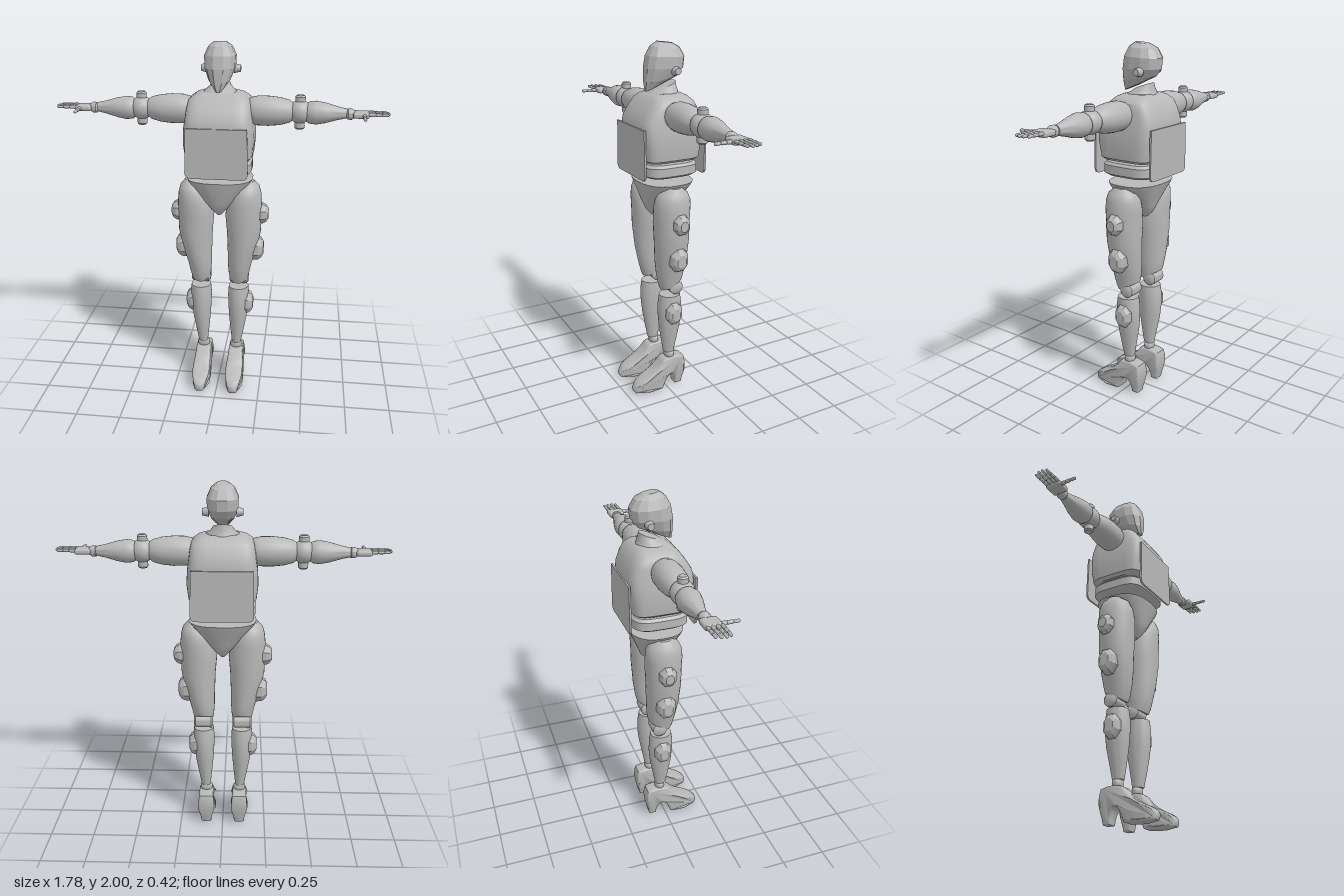
import * as THREE from 'three';
import { toCreasedNormals } from 'three/addons/utils/BufferGeometryUtils.js';
import { RoundedBoxGeometry } from 'three/addons/geometries/RoundedBoxGeometry.js';

const shell = new THREE.MeshStandardMaterial({ color: 0xb8b8b8 });
shell.name = 'grey shell';

function add(parent, name, geometry, x = 0, y = 0, z = 0) {
  const mesh = new THREE.Mesh(geometry, shell);
  mesh.name = name;
  mesh.position.set(x, y, z);
  parent.add(mesh);
  return mesh;
}

// Closed skin over rings listed upwards: [front y, back y, centre x, half width, front z, back z]
function loft(rings, { sides = 28, power = 2, crease = 0.7, turn = 0 } = {}) {
  const pos = [], idx = [];
  for (const [yf, yb, cx, rx, zf, zb] of rings) {
    for (let j = 0; j < sides; j++) {
      const a = ((j + turn) / sides) * Math.PI * 2;
      const c = Math.cos(a), s = Math.sin(a);
      const u = Math.sign(c) * Math.abs(c) ** (2 / power);
      const v = Math.sign(s) * Math.abs(s) ** (2 / power);
      const t = (v + 1) / 2;
      pos.push(cx + rx * u, yb + (yf - yb) * t, zb + (zf - zb) * t);
    }
  }
  const n = rings.length, bottom = n * sides, top = bottom + 1;
  for (const r of [rings[0], rings[n - 1]]) pos.push(r[2], (r[0] + r[1]) / 2, (r[4] + r[5]) / 2);
  for (let j = 0; j < sides; j++) {
    const k = (j + 1) % sides;
    for (let i = 0; i < n - 1; i++) {
      const a = i * sides + j, b = i * sides + k;
      idx.push(a, a + sides, b, b, a + sides, b + sides);
    }
    idx.push(bottom, j, k, top, (n - 1) * sides + k, (n - 1) * sides + j);
  }
  const g = new THREE.BufferGeometry();
  g.setAttribute('position', new THREE.Float32BufferAttribute(pos, 3));
  g.setIndex(idx);
  return toCreasedNormals(g, crease);
}

// Level rings: [y, centre x, half width, front z, back z]
const level = (rows, options) => loft(rows.map(([y, ...rest]) => [y, y, ...rest]), options);
// Round limb along x: [x, radius]
const limb = (rows) => level(rows.map(([x, r]) => [x, 0, r, r, -r])).rotateZ(-Math.PI / 2);
// Faceted pad facing +x
const pad = (ry, rz, depth) => level(
  [[0, 1], [0.5, 0.97], [0.8, 0.8], [1, 0.5]].map(([d, k]) => [d * depth, 0, ry * k, rz * k, -rz * k]),
  { sides: 8, crease: 0.1, turn: 0.5 }).rotateZ(-Math.PI / 2);

// Thin armour plate with rounded lower corners
function plate(w, y0, y1, depth) {
  const r = 0.035, s = new THREE.Shape();
  s.moveTo(-w + r, y0);
  s.lineTo(w - r, y0);
  s.quadraticCurveTo(w, y0, w, y0 + r);
  s.lineTo(w * 0.96, y1);
  s.lineTo(-w * 0.96, y1);
  s.lineTo(-w, y0 + r);
  s.quadraticCurveTo(-w, y0, -w + r, y0);
  return new THREE.ExtrudeGeometry(s, { depth, bevelEnabled: false });
}

// High-heeled shoe: side outline extruded across x, rounded at the toe and slim at the heel
function shoe() {
  const s = new THREE.Shape();
  s.moveTo(0.195, 0.015);
  s.quadraticCurveTo(0.22, 0.045, 0.14, 0.08);
  s.quadraticCurveTo(0.06, 0.115, 0.015, 0.18);
  s.quadraticCurveTo(-0.04, 0.2, -0.1, 0.18);
  s.quadraticCurveTo(-0.118, 0.13, -0.09, 0.015);
  s.lineTo(-0.065, 0.015);
  s.quadraticCurveTo(-0.055, 0.1, -0.02, 0.1);
  s.quadraticCurveTo(0.015, 0.095, 0.04, 0.015);
  s.lineTo(0.12, 0.01);
  s.lineTo(0.195, 0.015);
  const g = new THREE.ExtrudeGeometry(s, {
    depth: 0.07, bevelThickness: 0.016, bevelSize: 0.009, bevelSegments: 3, curveSegments: 10,
  });
  g.translate(0, 0, -0.035).rotateY(-Math.PI / 2);
  const p = g.attributes.position;
  for (let i = 0; i < p.count; i++) {
    const y = p.getY(i), z = p.getZ(i);
    let k = 1 - 0.2 * THREE.MathUtils.smoothstep(y, 0.08, 0.2);
    if (z > 0.1) k *= Math.sqrt(Math.max(0.12, 1 - ((z - 0.1) / 0.112) ** 2));
    if (z < -0.03) k *= 0.6 + 0.4 * THREE.MathUtils.smoothstep(y, 0.02, 0.12);
    p.setX(i, p.getX(i) * k);
  }
  return toCreasedNormals(g, 0.8);
}

function arm() {
  const g = new THREE.Group();
  const y = 1.64, z = -0.025;
  add(g, 'upperArm', limb([[0.14, 0.05], [0.165, 0.07], [0.2, 0.078], [0.26, 0.079], [0.32, 0.073], [0.37, 0.06], [0.39, 0.045]]), 0, y, z);
  add(g, 'elbowBall', new THREE.SphereGeometry(0.062, 28, 18), 0.425, y, z);
  add(g, 'elbowPin', level([[-0.09, 0, 0.02, 0.02, -0.02], [-0.082, 0, 0.027, 0.027, -0.027],
    [0.082, 0, 0.027, 0.027, -0.027], [0.09, 0, 0.02, 0.02, -0.02]]), 0.425, y - 0.002, z);
  add(g, 'forearm', limb([[0.455, 0.045], [0.475, 0.058], [0.51, 0.062], [0.56, 0.053], [0.62, 0.036], [0.67, 0.025]]), 0, y - 0.003, z);
  add(g, 'wrist', limb([[0.665, 0.02], [0.675, 0.029], [0.695, 0.029], [0.712, 0.018]]), 0, 1.635, -0.02);
  add(g, 'palm', new RoundedBoxGeometry(0.085, 0.03, 0.088, 3, 0.012), 0.742, 1.636, -0.014);

  // Three-jointed fingers and a forward thumb
  const joint = (len, r) => new THREE.CapsuleGeometry(r, len - r, 4, 10);
  [[-0.047, 0.095], [-0.024, 0.106], [0, 0.108], [0.022, 0.1]].forEach(([fz, length]) => {
    for (let i = 0; i < 3; i++) {
      add(g, 'fingerJoint', joint(length / 3 - 0.003, 0.0095 - i * 0.0008).rotateZ(Math.PI / 2),
        0.78 + (i + 0.5) * length / 3, 1.642, fz);
    }
  });
  for (let i = 0; i < 3; i++) {
    add(g, 'thumbJoint', joint(0.028, 0.0105 - i * 0.001).rotateX(Math.PI / 2), 0.757, 1.636, 0.038 + i * 0.031);
  }
  return g;
}

function leg() {
  const g = new THREE.Group();
  add(g, 'thigh', loft([
    [0.64, 0.705, 0.11, 0.055, 0.032, -0.095],
    [0.67, 0.72, 0.111, 0.06, 0.045, -0.1],
    [0.74, 0.76, 0.115, 0.068, 0.06, -0.106],
    [0.82, 0.82, 0.125, 0.079, 0.072, -0.111],
    [0.95, 0.95, 0.137, 0.096, 0.08, -0.116],
    [1.05, 1.05, 0.134, 0.102, 0.083, -0.118],
    [1.13, 1.13, 0.14, 0.096, 0.085, -0.12],
    [1.18, 1.18, 0.146, 0.085, 0.08, -0.118],
    [1.22, 1.22, 0.152, 0.068, 0.062, -0.1],
    [1.25, 1.25, 0.158, 0.035, 0.02, -0.06],
  ]));
  add(g, 'knee', limb([[-0.054, 0.03], [-0.045, 0.041], [0.045, 0.041], [0.054, 0.03]]), 0.111, 0.655, -0.042);
  add(g, 'shin', level([
    [0.23, 0.1, 0.027, 0.01, -0.056],
    [0.3, 0.103, 0.037, 0.023, -0.068],
    [0.4, 0.107, 0.051, 0.039, -0.086],
    [0.48, 0.109, 0.058, 0.046, -0.094],
    [0.55, 0.11, 0.061, 0.046, -0.092],
    [0.605, 0.11, 0.057, 0.038, -0.083],
  ]));
  add(g, 'ankle', level([[-0.022, 0, 0.027, 0.022, -0.022], [-0.01, 0, 0.035, 0.028, -0.028],
    [0.012, 0, 0.035, 0.028, -0.028], [0.022, 0, 0.027, 0.022, -0.022]]), 0.098, 0.21, -0.027);
  add(g, 'shoe', shoe(), 0.098, 0, 0);
  add(g, 'hipPad', pad(0.062, 0.05, 0.06), 0.213, 1.06, -0.025);
  add(g, 'thighPad', pad(0.076, 0.057, 0.062), 0.188, 0.85, -0.025);
  add(g, 'shinPad', pad(0.074, 0.053, 0.056), 0.14, 0.5, -0.025);
  return g;
}

export function createModel() {
  const model = new THREE.Group();
  model.name = 'humanoidRobot';

  // Faceted head with round ear discs
  add(model, 'head', loft([
    [1.745, 1.79, 0, 0.022, 0.07, -0.04],
    [1.795, 1.825, 0, 0.06, 0.074, -0.115],
    [1.865, 1.865, 0, 0.082, 0.072, -0.146],
    [1.93, 1.92, 0, 0.084, 0.06, -0.152],
    [1.975, 1.968, 0, 0.063, 0.036, -0.125],
    [2.0, 1.99, 0, 0.032, 0, -0.085],
  ], { sides: 12, power: 2.4, crease: 0.1, turn: 0.5 }));
  for (const s of [1, -1]) {
    const ear = add(model, 'ear', new THREE.CylinderGeometry(0.018, 0.026, 0.035, 12), s * 0.088, 1.853, -0.07);
    ear.rotation.z = -s * Math.PI / 2;
  }

  // Neck collar, chest, waist and pelvis
  add(model, 'neckCollar', loft([
    [1.7, 1.7, 0, 0.11, 0.065, -0.14],
    [1.735, 1.74, 0, 0.088, 0.045, -0.115],
    [1.745, 1.77, 0, 0.062, 0.02, -0.108],
    [1.755, 1.795, 0, 0.052, 0.005, -0.105],
  ]));
  add(model, 'chest', level([
    [1.39, 0, 0.165, 0.12, -0.17],
    [1.405, 0, 0.182, 0.137, -0.187],
    [1.48, 0, 0.19, 0.148, -0.198],
    [1.56, 0, 0.186, 0.154, -0.204],
    [1.61, 0, 0.178, 0.146, -0.2],
    [1.66, 0, 0.172, 0.115, -0.182],
    [1.7, 0, 0.163, 0.085, -0.16],
    [1.725, 0, 0.13, 0.06, -0.135],
    [1.738, 0, 0.09, 0.035, -0.11],
  ], { sides: 40, power: 5 }));
  add(model, 'chestPlate', plate(0.168, 1.305, 1.575, 0.01), 0, 0, 0.149);
  add(model, 'backPlate', plate(0.168, 1.305, 1.575, 0.01), 0, 0, -0.21);
  add(model, 'waist', level([
    [1.305, 0, 0.16, 0.11, -0.165],
    [1.318, 0, 0.178, 0.13, -0.184],
    [1.365, 0, 0.178, 0.13, -0.184],
    [1.38, 0, 0.165, 0.115, -0.17],
  ], { sides: 40, power: 4 }));
  add(model, 'pelvis', level([
    [1.06, 0, 0.018, 0.035, -0.075],
    [1.09, 0, 0.045, 0.063, -0.105],
    [1.14, 0, 0.088, 0.083, -0.125],
    [1.2, 0, 0.135, 0.1, -0.15],
    [1.25, 0, 0.175, 0.116, -0.174],
    [1.265, 0, 0.183, 0.12, -0.18],
  ], { sides: 36, power: 2.6 }));

  // Mirrored limbs
  for (const [s, side] of [[1, 'left'], [-1, 'right']]) {
    for (const [make, part] of [[arm, 'Arm'], [leg, 'Leg']]) {
      const limbGroup = make();
      limbGroup.name = side + part;
      limbGroup.scale.x = s;
      model.add(limbGroup);
    }
  }
  return model;
}
